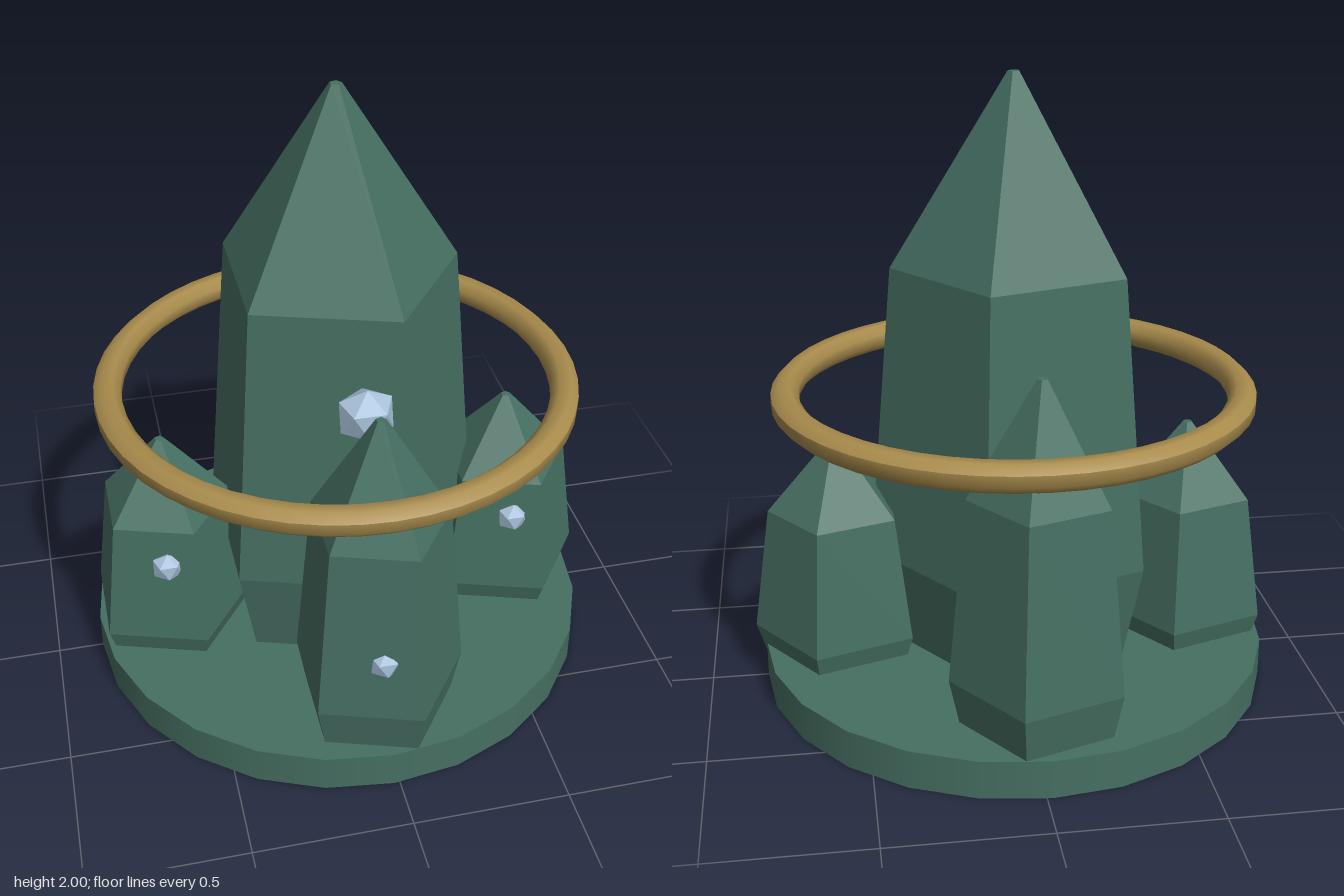
import * as THREE from 'three';

const stone = new THREE.MeshStandardMaterial({ color: 0x466f62 });
stone.name = 'green stone';
const gold = new THREE.MeshStandardMaterial({ color: 0xa88b4c });
gold.name = 'gold';
const ice = new THREE.MeshStandardMaterial({ color: 0xa9c3dc });
ice.name = 'pale blue gem';

const CX = -0.017; // the axis of base, spire and ring

function addMesh(group, name, geometry, material, x, y, z) {
  const mesh = new THREE.Mesh(geometry, material);
  mesh.name = name;
  mesh.position.set(x, y, z);
  group.add(mesh);
}

// Five-sided faceted crystal: flared foot, widest belt, tapered shoulder, blunt tip
function crystalGeometry(radius, beltY, shoulderRadius, shoulderY, tipY, tipRadius) {
  const profile = [
    [0, 0.03], [radius * 0.82, 0.03], [radius, beltY],
    [shoulderRadius, shoulderY], [tipRadius, tipY], [0, tipY],
  ].map(([r, y]) => new THREE.Vector2(r, y));
  const geometry = new THREE.LatheGeometry(profile, 5, Math.PI / 2).toNonIndexed();
  geometry.computeVertexNormals();
  return geometry;
}

// Flattened icosahedron with one triangle facing forward, pointing down
function gemGeometry(radius) {
  const t = (1 + Math.sqrt(5)) / 2;
  return new THREE.IcosahedronGeometry(radius, 0)
    .rotateY(-Math.atan2(t, 2 * t + 1))
    .rotateZ(-Math.PI / 2)
    .scale(1, 1, 0.75);
}

// Ring with an octagonal section, flat side outward
function ringGeometry(ringRadius, tubeRadius) {
  const section = [];
  for (let i = 0; i <= 8; i++) {
    const a = ((i + 0.5) / 8) * Math.PI * 2;
    section.push(new THREE.Vector2(ringRadius + tubeRadius * Math.cos(a), tubeRadius * Math.sin(a)));
  }
  return new THREE.LatheGeometry(section, 48);
}

export function createModel() {
  const model = new THREE.Group();
  model.name = 'crystalCluster';

  // Round base
  addMesh(model, 'base', new THREE.CylinderGeometry(0.833, 0.833, 0.125, 24), stone, CX, 0.0625, 0);

  // Central spire
  addMesh(model, 'mainCrystal', crystalGeometry(0.474, 0.44, 0.39, 1.4, 2, 0.019), stone, CX, 0, 0);

  // Taller crystals front and back, shorter ones at the sides
  for (const s of [1, -1]) {
    addMesh(model, s > 0 ? 'frontCrystal' : 'backCrystal',
      crystalGeometry(0.279, 0.27, 0.224, 0.86, 1.22, 0.016), stone, CX, 0, s * 0.585);
    addMesh(model, s > 0 ? 'leftCrystal' : 'rightCrystal',
      crystalGeometry(0.281, 0.19, 0.223, 0.6, 0.84, 0.016), stone, CX + s * 0.583, 0, 0);
  }

  // Floating ring
  addMesh(model, 'ring', ringGeometry(0.733, 0.0475), gold, CX, 0.985, 0);

  // Gems set into the crystal faces
  addMesh(model, 'mainGem', gemGeometry(0.095), ice, CX, 1.12, 0.41);
  addMesh(model, 'leftGem', gemGeometry(0.054), ice, 0.55, 0.47, 0.195);
  addMesh(model, 'rightGem', gemGeometry(0.054), ice, -0.62, 0.47, 0.195);
  addMesh(model, 'frontGem', gemGeometry(0.054), ice, -0.04, 0.47, 0.779);

  return model;
}
